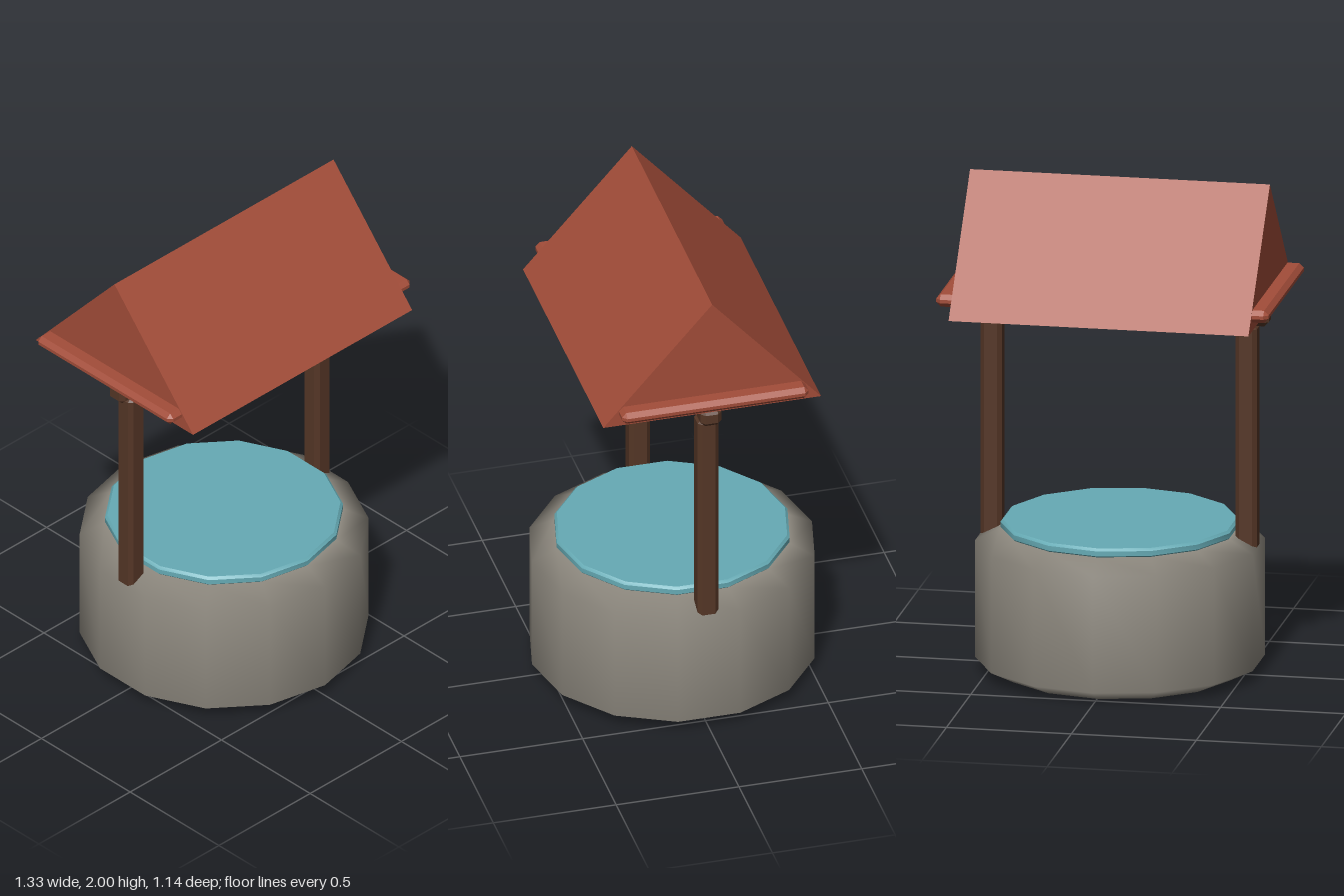
import * as THREE from 'three';
import { toCreasedNormals } from 'three/addons/utils/BufferGeometryUtils.js';
import { ConvexGeometry } from 'three/addons/geometries/ConvexGeometry.js';

const material = (name, color) => {
  const m = new THREE.MeshStandardMaterial({ color });
  m.name = name;
  return m;
};

// Box with every edge and corner cut off by c
function chamferedBox(w, h, d, c) {
  const points = [];
  for (const x of [-1, 1]) for (const y of [-1, 1]) for (const z of [-1, 1]) {
    for (let axis = 0; axis < 3; axis++) {
      const cut = [c, c, c];
      cut[axis] = 0;
      points.push(new THREE.Vector3(x * (w / 2 - cut[0]), y * (h / 2 - cut[1]), z * (d / 2 - cut[2])));
    }
  }
  return new ConvexGeometry(points);
}

// Fourteen-sided turned form from [radius, height] pairs
const turned = (profile) =>
  new THREE.LatheGeometry(profile.map(([r, y]) => new THREE.Vector2(r, y)), 14);

export function createModel() {
  const model = new THREE.Group();
  model.name = 'well';

  const stone = material('stone', 0x8f8a80);
  const water = material('water', 0x66abb5);
  const wood = material('dark wood', 0x553626);
  const tile = material('red roof', 0xa34d39);

  const add = (name, geometry, mat, x = 0, y = 0, z = 0) => {
    const mesh = new THREE.Mesh(geometry, mat);
    mesh.name = name;
    mesh.position.set(x, y, z);
    model.add(mesh);
    return mesh;
  };

  // Stone basin with softened rims
  add('stoneBase', turned([[0, 0], [0.47, 0], [0.57, 0.05], [0.57, 0.525], [0.47, 0.575], [0, 0.575]]), stone);

  // Water disc standing slightly proud of the rim
  const disc = turned([[0, 0.57], [0.46, 0.57], [0.47, 0.58], [0.47, 0.6], [0.46, 0.61], [0, 0.61]]);
  add('waterSurface', toCreasedNormals(disc, 0.6), water);

  // Posts and the gable trims, mirrored left and right
  for (const side of [-1, 1]) {
    const label = side > 0 ? 'left' : 'right';
    add(label + 'Post', chamferedBox(0.085, 1.08, 0.085, 0.016), wood, side * 0.51, 0.89);
    add(label + 'GableTrim', chamferedBox(0.13, 0.05, 0.76, 0.018), tile, side * 0.6, 1.56);
  }

  // Crossbeam under the roof
  add('crossbeam', chamferedBox(1.2, 0.075, 0.085, 0.018), wood, 0, 1.465);

  // Solid gabled roof, extruded along x
  const gable = new THREE.Shape([
    new THREE.Vector2(-0.443, 1.5),
    new THREE.Vector2(0.443, 1.5),
    new THREE.Vector2(0, 2),
  ]);
  const roof = new THREE.ExtrudeGeometry(gable, { depth: 1.2, bevelEnabled: false });
  roof.translate(0, 0, -0.6).rotateY(Math.PI / 2);
  add('roof', roof, tile);

  return model;
}
